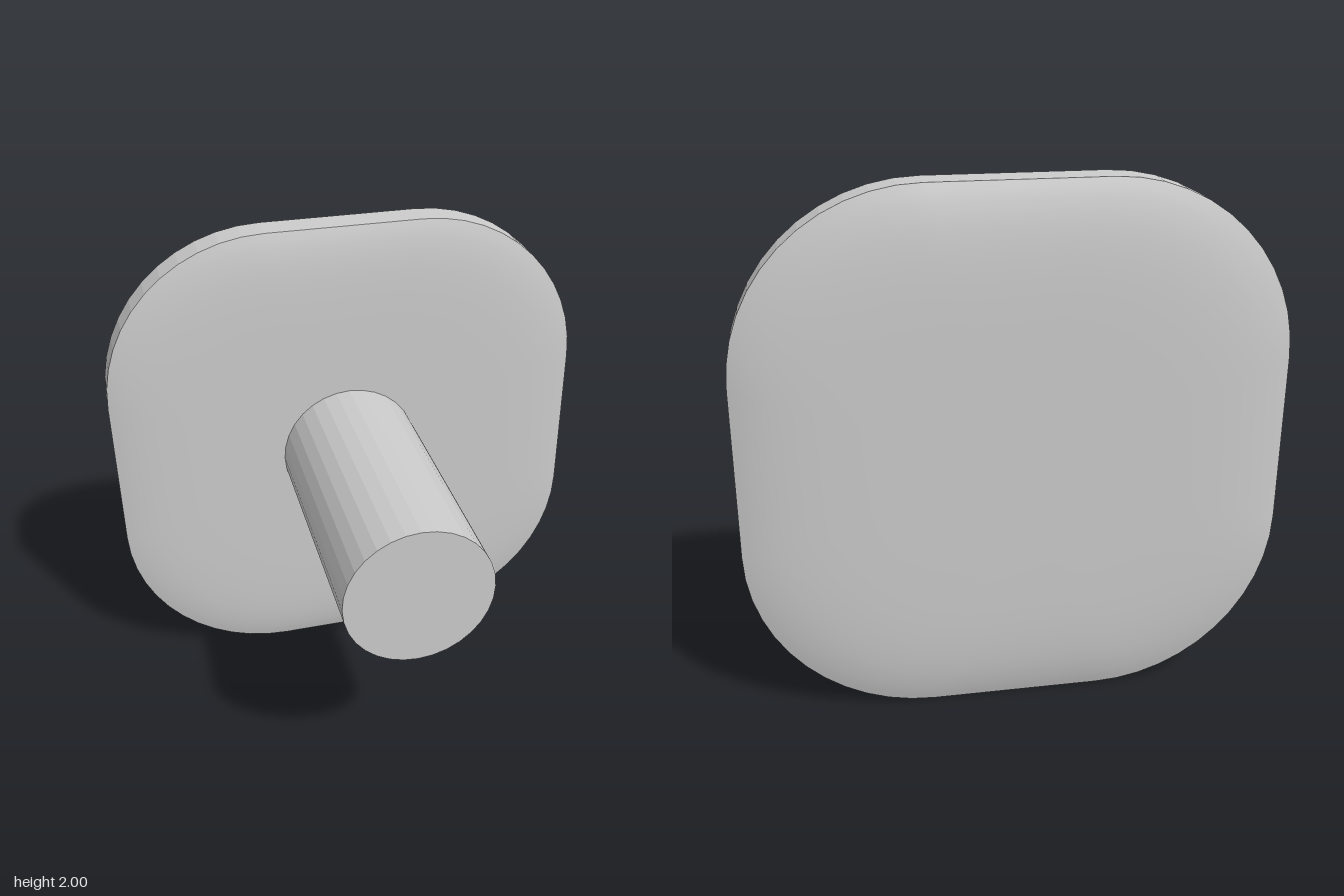
import * as THREE from 'three';

const CORNER = 0.68, STEPS = 12; // corner radius and facets per corner

// Rounded-square outline, anticlockwise seen from +z
function outline() {
  const pts = [];
  const c = 1 - CORNER;
  for (const [k, sx, sy] of [[0, 1, 1], [1, -1, 1], [2, -1, -1], [3, 1, -1]]) {
    for (let i = 0; i <= STEPS; i++) {
      const a = (k + i / STEPS) * Math.PI / 2;
      pts.push([sx * c + CORNER * Math.cos(a), sy * c + CORNER * Math.sin(a)]);
    }
  }
  return pts;
}

// Joins a list of rings {scale, z} into a surface; normals face outwards when
// going from the front centre, over the rim, to the back centre
function ringSurface(rings) {
  const pts = outline(), n = pts.length;
  const pos = [], index = [];
  for (const { s, z } of rings) for (const [x, y] of pts) pos.push(x * s, y * s, z);
  for (let r = 0; r < rings.length - 1; r++) {
    for (let i = 0; i < n; i++) {
      const j = (i + 1) % n;
      const a = r * n + i, b = r * n + j, c = a + n, d = b + n;
      if (rings[r].s > 0) index.push(a, c, b);
      if (rings[r + 1].s > 0) index.push(b, c, d);
    }
  }
  const geo = new THREE.BufferGeometry();
  geo.setAttribute('position', new THREE.Float32BufferAttribute(pos, 3));
  geo.setIndex(index);
  geo.computeVertexNormals();
  // The collapsed centre ring shares one normal
  rings.forEach(({ s }, r) => {
    if (s > 0) return;
    const nz = r === 0 ? 1 : -1;
    for (let i = 0; i < n; i++) geo.attributes.normal.setXYZ(r * n + i, 0, 0, nz);
  });
  return geo;
}

// Shallow dome that is flat in the middle and falls off near the edge
const SCALES = [0, 0.3, 0.5, 0.6, 0.68, 0.75, 0.81, 0.86, 0.9, 0.94, 0.97, 1];
const dome = (rimZ, height, power) =>
  SCALES.map((s) => ({ s, z: rimZ + height * (1 - Math.pow(s, power)) }));

export function createModel() {
  const model = new THREE.Group();
  model.name = 'knob';
  const smooth = new THREE.MeshStandardMaterial({ color: 0xcccccc });
  const faceted = new THREE.MeshStandardMaterial({ color: 0xcccccc, flatShading: true });

  const add = (parent, name, geo, mat) => {
    const mesh = new THREE.Mesh(geo, mat);
    mesh.name = name;
    parent.add(mesh);
    return mesh;
  };

  // Cushion-shaped plate
  const plate = new THREE.Group();
  plate.name = 'plate';
  plate.position.y = 1;
  add(plate, 'plateFront', ringSurface(dome(-0.465, 0.035, 9)), smooth);
  add(plate, 'plateRim', ringSurface([{ s: 1, z: -0.465 }, { s: 1, z: -0.59 }]), faceted);
  add(plate, 'plateBack', ringSurface(dome(-0.59, -0.055, 7).reverse()), smooth);
  model.add(plate);

  // Round stem reaching forward from the middle of the plate
  const stemBack = -0.5, stemFront = 0.645;
  const stemGeo = new THREE.CylinderGeometry(0.29, 0.29, stemFront - stemBack, 32);
  stemGeo.rotateX(Math.PI / 2);
  const stem = add(model, 'stem', stemGeo, faceted);
  stem.position.set(0, 1, (stemFront + stemBack) / 2);

  return model;
}
